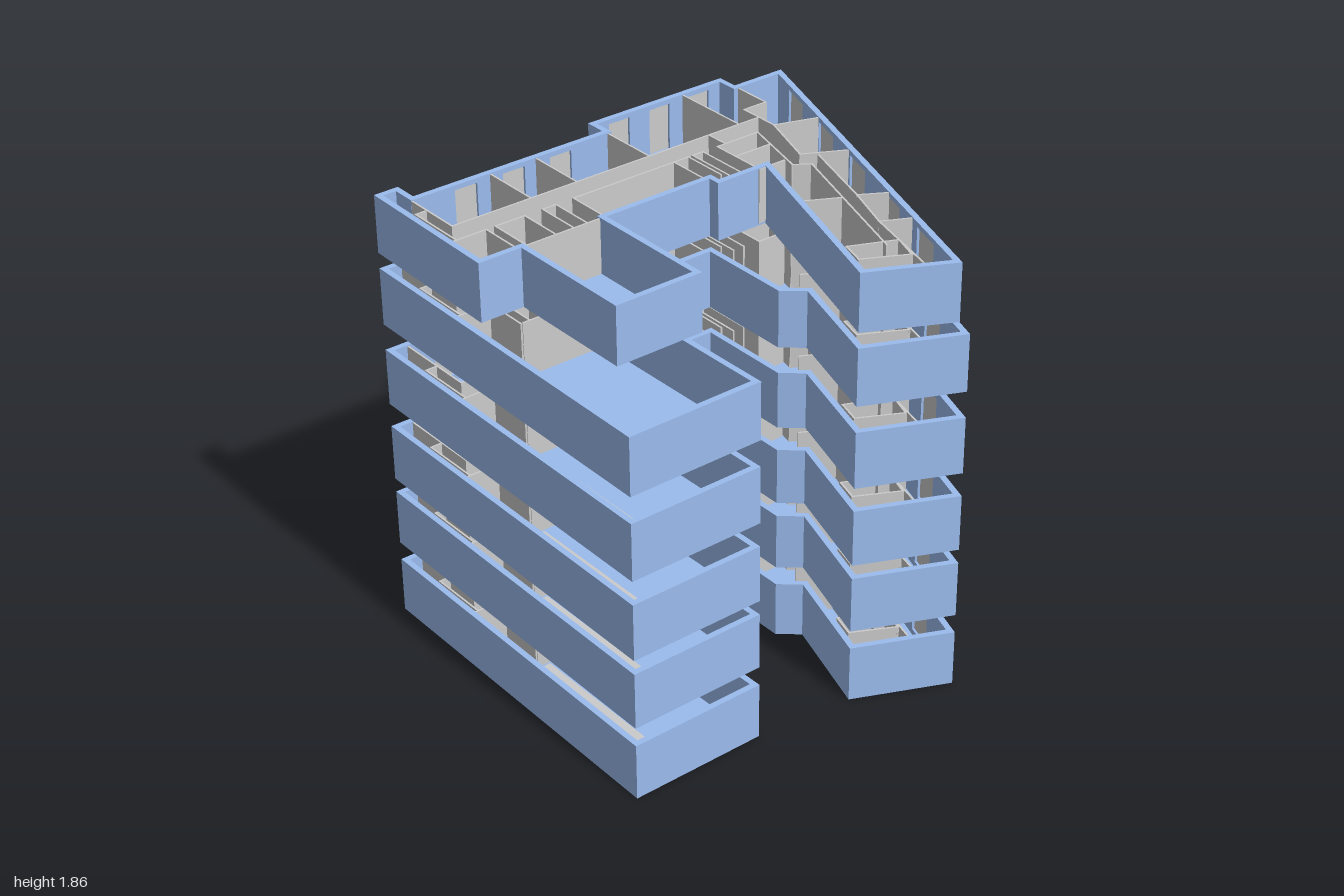
import * as THREE from 'three';

const blue = new THREE.MeshStandardMaterial({ color: 0x9bbcee });
const grey = new THREE.MeshStandardMaterial({ color: 0xcccccc });
const T = 0.025;      // outer wall thickness
const H = 0.24;       // storey height
const SLAB = 0.01;

// Plan outlines as [x, z], starting at the back right corner
const typicalPlan = [
  [-0.88, -1], [0.88, -0.38], [0.705, 0], [0.27, -0.14], [0.2, -0.06], [-0.2, -0.06],
  [-0.2, 0.42], [0.66, 0.41], [0.66, 0.99], [-0.88, 0.975],
];
const topPlan = [
  [-0.78, -0.9], [0.875, -0.33], [0.705, 0], [-0.15, -0.29], [-0.15, -0.06], [-0.2, -0.06],
  [-0.2, 0.42], [0.35, 0.42], [0.35, 0.8], [-0.2, 0.8], [-0.2, 0.985], [-0.88, 0.975],
  [-0.88, 0.87], [-0.78, 0.87], [-0.78, 0], [-0.87, 0], [-0.87, -0.66], [-0.78, -0.66],
];

// Inner walls as paths of [x, z]
const partitions = [
  [[-0.5, -0.55], [-0.5, 0.89]],
  [[-0.85, -0.45], [-0.5, -0.45]],
  [[-0.77, -0.01], [-0.5, -0.01]],
  [[-0.77, 0.33], [-0.5, 0.33]],
  [[-0.77, 0.54], [-0.5, 0.54]],
  [[-0.85, 0.89], [-0.5, 0.89]],
  [[-0.66, 0.89], [-0.66, 0.94], [-0.4, 0.94]],
  [[-0.77, -0.66], [-0.59, -0.66], [-0.59, -0.55], [-0.41, -0.55], [-0.35, -0.73]],
  [[-0.41, -0.55], [-0.15, -0.46], [-0.06, -0.63]],
  [[-0.1, -0.38], [-0.4, -0.46], [-0.4, -0.26], [-0.15, -0.26], [-0.15, -0.38]],
  [[-0.29, -0.43], [-0.29, -0.26]],
  [[-0.5, -0.3], [-0.4, -0.3]],
  [[-0.16, -0.19], [-0.4, -0.19], [-0.4, -0.14], [-0.16, -0.14]],
  [[-0.21, -0.12], [-0.4, -0.12], [-0.4, 0.42], [-0.22, 0.42]],
  [[-0.4, -0.05], [-0.21, -0.05]],
  [[-0.21, 0.5], [-0.4, 0.5], [-0.4, 0.56], [-0.21, 0.56]],
  [[-0.21, 0.64], [-0.4, 0.64], [-0.4, 0.77], [-0.21, 0.77]],
  [[-0.21, 0.81], [-0.4, 0.81], [-0.4, 0.95]],
  [[-0.21, 0.42], [-0.21, 0.8]],
  [[-0.1, -0.51], [0.24, -0.4], [0.45, -0.32], [0.78, -0.23]],
  [[0.3, -0.5], [0.24, -0.4]],
  [[0.51, -0.44], [0.45, -0.32]],
  [[-0.1, -0.38], [-0.06, -0.44], [0.6, -0.22]],
  [[0.22, -0.34], [0.15, -0.21]],
  [[0.6, -0.28], [0.71, -0.24], [0.62, -0.07], [0.52, -0.1], [0.6, -0.28]],
];

function add(group, name, geometry, material) {
  const mesh = new THREE.Mesh(geometry, material);
  mesh.name = name;
  group.add(mesh);
  return mesh;
}

// Turn angle of the outline at corner b
function turn(a, b, c) {
  const [ux, uz, vx, vz] = [b[0] - a[0], b[1] - a[1], c[0] - b[0], c[1] - b[1]];
  return Math.atan2(ux * vz - uz * vx, ux * vx + uz * vz);
}

// Outer wall along plan edge i, with mitred ends and glazed openings
function outerWall(plan, i, openings) {
  const n = plan.length;
  const [p, a, b, q] = [-1, 0, 1, 2].map((k) => plan[(i + k + n) % n]);
  const dx = b[0] - a[0], dz = b[1] - a[1], length = Math.hypot(dx, dz);
  const wall = new THREE.Group();
  wall.name = 'outerWall';
  wall.position.set(a[0], 0, a[1]);
  wall.rotation.y = -Math.atan2(dz, dx);

  const shape = new THREE.Shape([
    new THREE.Vector2(0, 0), new THREE.Vector2(length, 0),
    new THREE.Vector2(length, H), new THREE.Vector2(0, H),
  ]);
  if (openings) {
    const { at, width, y0, y1 } = openings;
    for (const f of at) {
      const x0 = f * length - width / 2, x1 = x0 + width;
      shape.holes.push(new THREE.Path([
        new THREE.Vector2(x0, y0), new THREE.Vector2(x0, y1),
        new THREE.Vector2(x1, y1), new THREE.Vector2(x1, y0),
      ]));
      add(wall, 'windowPane', new THREE.BoxGeometry(width, y1 - y0, 0.006), grey)
        .position.set(f * length, (y0 + y1) / 2, 0.012);
    }
  }
  const geometry = new THREE.ExtrudeGeometry(shape, { depth: T, bevelEnabled: false });
  const pos = geometry.attributes.position;
  const startCut = T * Math.tan(turn(p, a, b) / 2), endCut = T * Math.tan(turn(a, b, q) / 2);
  for (let k = 0; k < pos.count; k++) {
    if (pos.getZ(k) < T / 2) continue;
    if (pos.getX(k) < 1e-4) pos.setX(k, startCut);
    else if (pos.getX(k) > length - 1e-4) pos.setX(k, length - endCut);
  }
  geometry.computeVertexNormals();
  add(wall, 'wallPanel', geometry, blue);
  return wall;
}

function floorSlab(plan) {
  const shape = new THREE.Shape(plan.map(([x, z]) => new THREE.Vector2(x, z)));
  return new THREE.ExtrudeGeometry(shape, { depth: SLAB, bevelEnabled: false })
    .rotateX(Math.PI / 2).translate(0, SLAB, 0);
}

function storey(name, plan, windows) {
  const group = new THREE.Group();
  group.name = name;
  add(group, 'floorSlab', floorSlab(plan), blue);
  plan.forEach((_, i) => group.add(outerWall(plan, i, windows[i])));

  // Thin inner walls
  const h = H - SLAB - 0.004;
  for (const path of partitions) {
    for (let i = 1; i < path.length; i++) {
      const [a, b] = [path[i - 1], path[i]];
      const dx = b[0] - a[0], dz = b[1] - a[1];
      const wall = add(group, 'partition',
        new THREE.BoxGeometry(Math.hypot(dx, dz) + 0.008, h, 0.008), grey);
      wall.position.set((a[0] + b[0]) / 2, SLAB + h / 2, (a[1] + b[1]) / 2);
      wall.rotation.y = -Math.atan2(dz, dx);
    }
  }
  return group;
}

export function createModel() {
  const model = new THREE.Group();
  model.name = 'explodedBuilding';

  // Five alike storeys, floating apart
  const lowWindows = {
    0: { at: [0.145, 0.32, 0.5, 0.68, 0.855], width: 0.135, y0: 0.035, y1: 0.21 },
    9: { at: [0.14, 0.32, 0.5, 0.68, 0.86], width: 0.15, y0: 0.035, y1: 0.21 },
  };
  [0, 0.32, 0.62, 0.96, 1.31].forEach((y, i) => {
    const level = storey('storey' + (i + 1), typicalPlan, lowWindows);
    add(level, 'wingFloor', new THREE.BoxGeometry(0.83, 0.004, 0.21), grey)
      .position.set(0.22, SLAB + 0.002, 0.86);
    level.position.y = y;
    model.add(level);
  });

  // Set-back top storey
  const top = storey('topStorey', topPlan, {
    0: { at: [0.13, 0.31, 0.49, 0.675, 0.85], width: 0.147, y0: 0.025, y1: 0.22 },
    13: { at: [0.25, 0.5, 0.75], width: 0.1, y0: 0.025, y1: 0.22 },
    15: { at: [0.2, 0.5, 0.8], width: 0.1, y0: 0.025, y1: 0.22 },
  });
  top.position.y = 1.615;
  model.add(top);
  return model;
}
